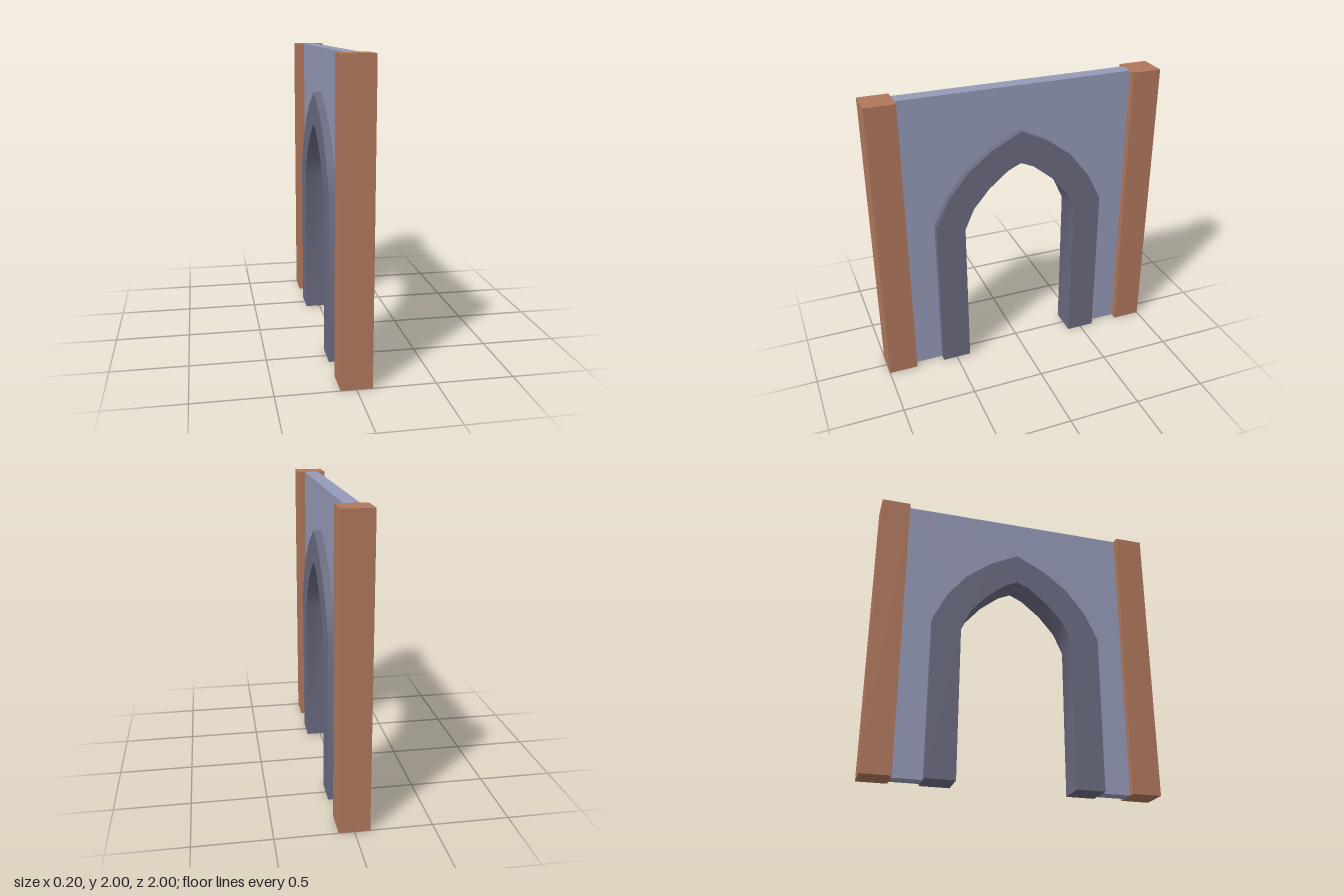
import * as THREE from 'three';
import { toCreasedNormals } from 'three/addons/utils/BufferGeometryUtils.js';

const brick = new THREE.MeshStandardMaterial({ color: 0xb0775c, name: 'brick' });
const plaster = new THREE.MeshStandardMaterial({ color: 0x9499b6, name: 'plaster' });
const stone = new THREE.MeshStandardMaterial({ color: 0x696a80, name: 'stone' });

// Half profiles of the pointed arch, from the floor to the apex
const outerHalf = [[0.6, 0], [0.6, 1.105], [0.505, 1.3], [0.37, 1.47], [0.2, 1.6], [0, 1.7]];
const innerHalf = [[0.4, 0], [0.4, 1.055], [0.335, 1.2], [0.225, 1.33], [0.09, 1.44], [0, 1.48]];

// Full arch line, running over the apex from one foot to the other
function archLine(half) {
  const mirrored = half.slice(0, -1).reverse().map(([z, y]) => [-z, y]);
  return [...half, ...mirrored].map(([z, y]) => new THREE.Vector2(z, y));
}

// Extrudes an outline drawn in the z-y plane, centred on x = 0
function slab(name, points, thickness, material) {
  let geometry = new THREE.ExtrudeGeometry(new THREE.Shape(points), { depth: thickness, bevelEnabled: false });
  geometry.translate(0, 0, -thickness / 2);
  geometry.rotateY(-Math.PI / 2);
  geometry = toCreasedNormals(geometry, 0.6);
  const mesh = new THREE.Mesh(geometry, material);
  mesh.name = name;
  return mesh;
}

export function createModel() {
  const model = new THREE.Group();
  model.name = 'archway';

  // Thin wall panel around the arch
  const wallOutline = [
    new THREE.Vector2(-0.8, 0), new THREE.Vector2(-0.8, 2),
    new THREE.Vector2(0.8, 2), new THREE.Vector2(0.8, 0),
    ...archLine(outerHalf),
  ];
  model.add(slab('wall', wallOutline, 0.1, plaster));

  // Thick pointed arch surround
  const archOutline = [...archLine(outerHalf), ...archLine(innerHalf).reverse()];
  model.add(slab('archSurround', archOutline, 0.2, stone));

  // Square pillars at both ends
  for (const side of [1, -1]) {
    const pillar = new THREE.Mesh(new THREE.BoxGeometry(0.2, 2, 0.2), brick);
    pillar.position.set(0, 1, side * 0.9);
    pillar.name = side > 0 ? 'frontPillar' : 'backPillar';
    model.add(pillar);
  }
  return model;
}
